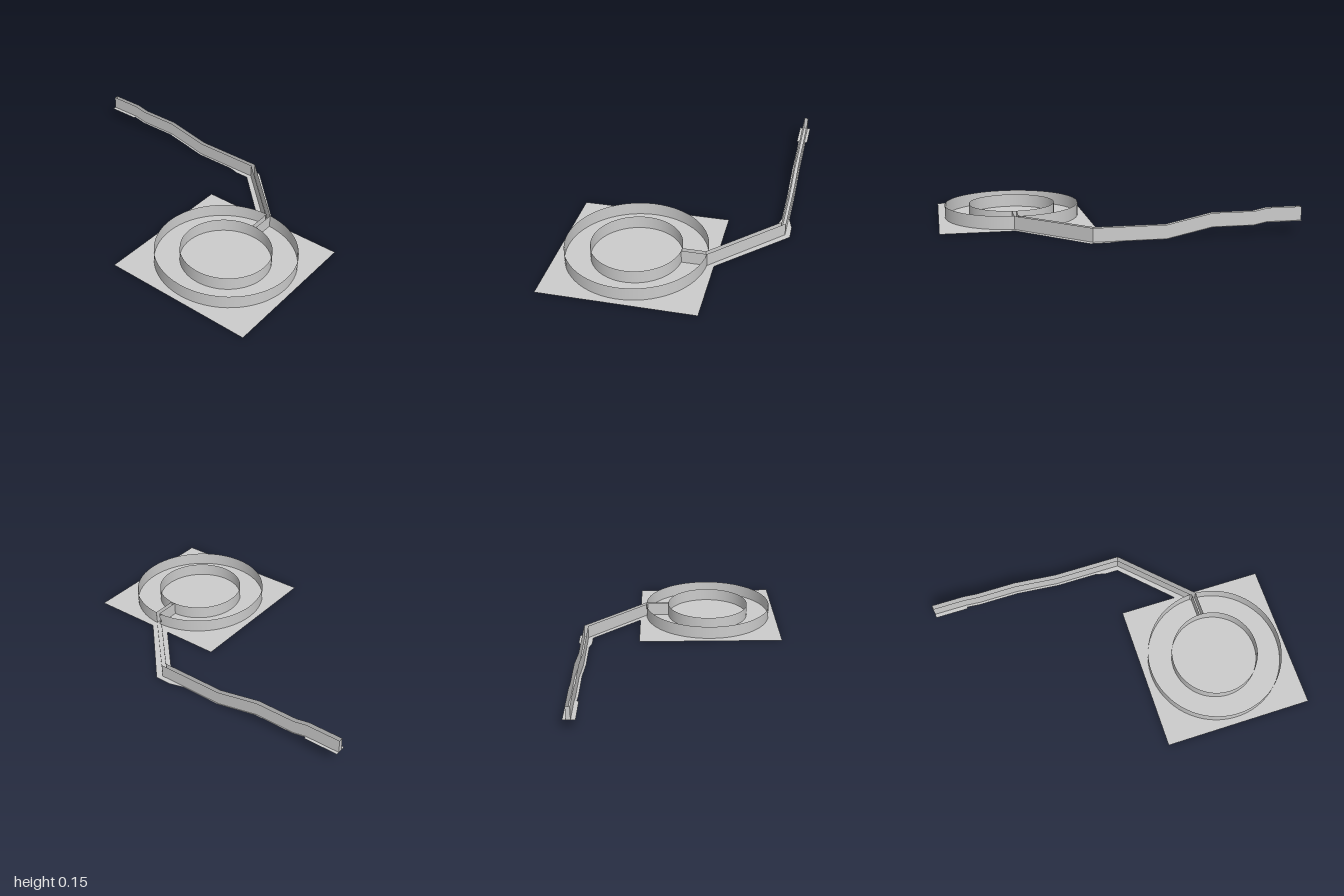
import * as THREE from 'three';

const material = new THREE.MeshStandardMaterial({ color: 0xcccccc, side: THREE.DoubleSide });
const flatMaterial = new THREE.MeshStandardMaterial({ color: 0xcccccc, side: THREE.DoubleSide, flatShading: true });

const CX = -0.19, CZ = 0.555;   // centre of the rings
const WALL = 0.078;             // wall height
const SLOPE = [[-0.22, 0], [-0.48, 0.055], [-0.72, 0.055], [-0.8, 0.071], [-1, 0.071]]; // [z, floor height]

// Sheet stretched between two matching rows of points
function sheet(name, rowA, rowB) {
  const pos = [...rowA, ...rowB].flat();
  const n = rowA.length, index = [];
  for (let i = 0; i < n - 1; i++) index.push(i, i + 1, n + i, i + 1, n + i + 1, n + i);
  const geo = new THREE.BufferGeometry();
  geo.setAttribute('position', new THREE.Float32BufferAttribute(pos, 3));
  geo.setIndex(index);
  geo.computeVertexNormals();
  const mesh = new THREE.Mesh(geo, flatMaterial);
  mesh.name = name;
  return mesh;
}

// Upright wall along a ground path, then back along x following the slope
function wall(name, path, x) {
  const low = path.map(([px, pz]) => [px, 0, pz]);
  if (x !== undefined) SLOPE.forEach(([z, y]) => low.push([x, y, z]));
  return sheet(name, low, low.map(([px, y, z]) => [px, y + WALL, z]));
}

// Open round wall, with an optional gap facing the channel
function ring(name, radius, gap) {
  const geo = new THREE.CylinderGeometry(radius, radius, WALL, 64, 1, true,
    Math.PI / 2 + 0.2 * gap / radius, Math.PI * 2 - gap / radius);
  const mesh = new THREE.Mesh(geo, material);
  mesh.position.set(CX, WALL / 2, CZ);
  mesh.name = name;
  return mesh;
}

export function createModel() {
  const group = new THREE.Group();
  group.name = 'ringBasinWithChannel';

  // Square base sheet
  const base = new THREE.Mesh(new THREE.PlaneGeometry(0.89, 0.89).rotateX(-Math.PI / 2), flatMaterial);
  base.position.set(CX, 0, CZ);
  base.name = 'basePlate';
  group.add(base);

  // Two concentric round walls
  group.add(ring('outerRing', 0.405, 0.025), ring('innerRing', 0.26, 0));

  // Channel: two parallel walls from the inner ring to the far end
  group.add(
    wall('channelOuterWall', [[0.07, 0.575], [0.215, 0.575], [0.6, 0.19]], 0.6),
    wall('channelInnerWall', [[0.07, 0.55], [0.205, 0.55], [0.575, 0.18]], 0.575),
  );
  // Cap closing the far end
  const y = SLOPE[SLOPE.length - 1][1];
  group.add(sheet('channelEndCap', [[0.575, y, -1], [0.6, y, -1]], [[0.575, y + WALL, -1], [0.6, y + WALL, -1]]));

  // Floor strip under the channel, widening at the bend and at the end
  const inner = [[0.255, 0, 0.455], [0.545, 0, 0.17], [0.545, 0, 0.09], [0.56, 0, 0.03]];
  const outer = [[0.255, 0, 0.575], [0.63, 0, 0.21], [0.63, 0, 0.11], [0.607, 0, 0.03]];
  for (const [z, h] of SLOPE.slice(0, 4)) {
    inner.push([0.56, h, z]);
    outer.push([0.607, h, z]);
  }
  group.add(sheet('channelFloor', inner, outer));
  group.add(sheet('channelEndFloor', [[0.55, y, -0.8], [0.55, y, -1]], [[0.618, y, -0.8], [0.618, y, -1]]));

  return group;
}
